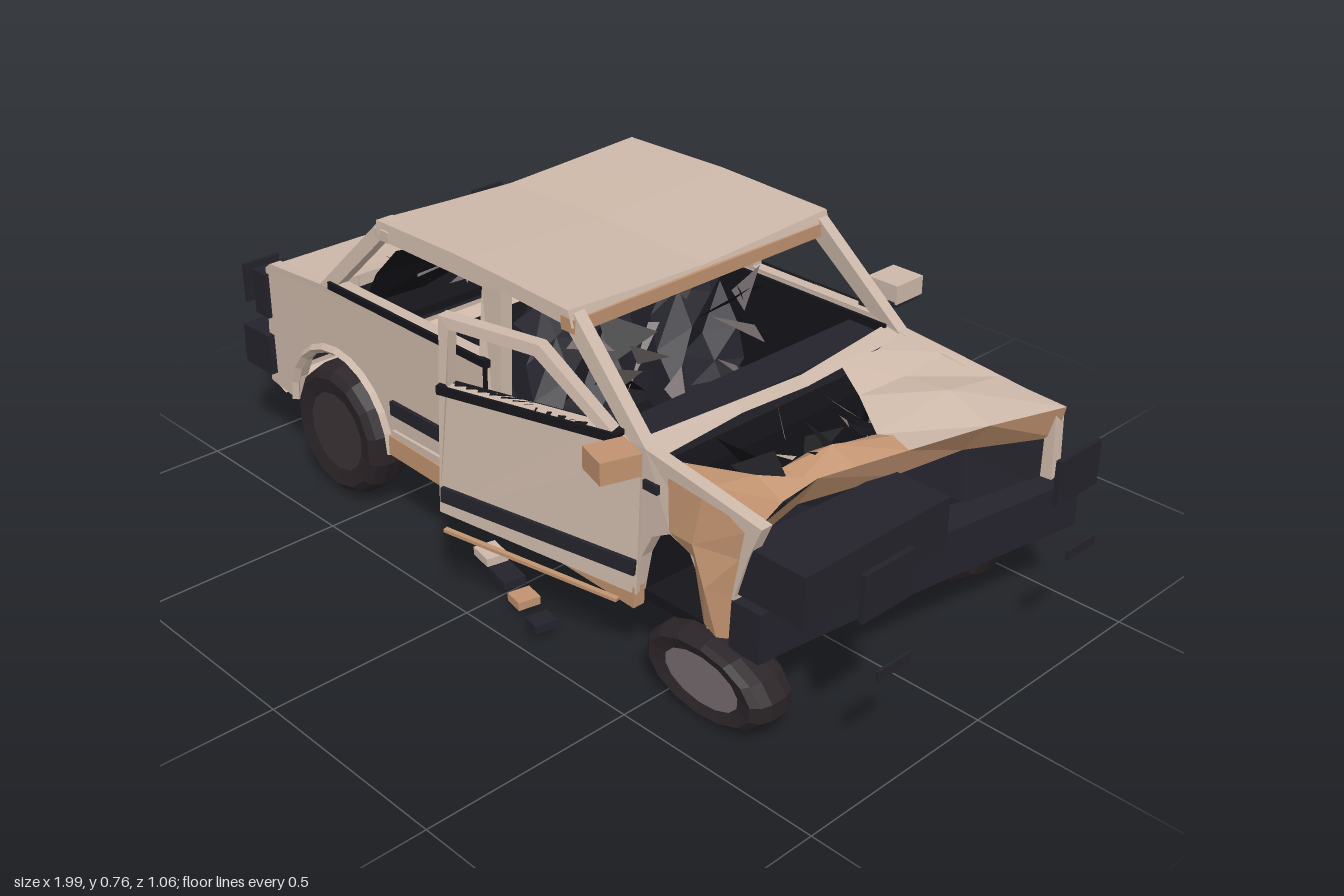
import * as THREE from 'three';

const mat = (color) => new THREE.MeshStandardMaterial({ color, flatShading: true, side: THREE.DoubleSide });
const paint = mat(0xcdb8a9), rust = mat(0xc0926f), dark = mat(0x24232c), black = mat(0x15151a);
const rubber = mat(0x2b2428), hubGrey = mat(0x3a3236), shardGrey = mat(0x746a6c);

let seed = 7;
const rnd = (a, b) => {
  seed = (seed * 16807) % 2147483647;
  return a + (b - a) * seed / 2147483647;
};

export function createModel() {
  const car = new THREE.Group();
  car.name = 'wreckedSaloon';

  const add = (name, geo, m, pos = [0, 0, 0], parent = car) => {
    const mesh = new THREE.Mesh(geo, m);
    mesh.name = name;
    mesh.position.set(...pos);
    parent.add(mesh);
    return mesh;
  };
  // box given by its limits on each axis
  const box = (name, m, x0, x1, y0, y1, z0, z1, parent = car) =>
    add(name, new THREE.BoxGeometry(x1 - x0, y1 - y0, z1 - z0), m, [(x0 + x1) / 2, (y0 + y1) / 2, (z0 + z1) / 2], parent);
  // bent sheet through rows of [x, y, z] points
  const sheet = (name, m, rows) => {
    const n = rows[0].length, idx = [];
    for (let r = 0; r < rows.length - 1; r++)
      for (let c = 0; c < n - 1; c++) {
        const a = r * n + c, b = a + n;
        idx.push(a, a + 1, b, a + 1, b + 1, b);
      }
    const g = new THREE.BufferGeometry();
    g.setAttribute('position', new THREE.Float32BufferAttribute(rows.flat(2), 3));
    g.setIndex(idx);
    g.computeVertexNormals();
    return add(name, g, m);
  };
  const path = (pts, Type = THREE.Shape) => new Type(pts.map(([x, y]) => new THREE.Vector2(x, y)));
  // move every vertex by a rule
  const warp = (geo, rule) => {
    const p = geo.attributes.position, v = new THREE.Vector3();
    for (let i = 0; i < p.count; i++) {
      rule(v.fromBufferAttribute(p, i));
      p.setXYZ(i, v.x, v.y, v.z);
    }
    geo.computeVertexNormals();
    return geo;
  };
  const extrude = (shape, depth) => new THREE.ExtrudeGeometry(shape, { depth, bevelEnabled: false });
  const arch = (cx, cy, r, a0, a1, n = 10) => Array.from({ length: n + 1 }, (_, i) => {
    const a = a0 + (a1 - a0) * i / n;
    return [cx + r * Math.cos(a), cy + r * Math.sin(a)];
  });

  // ---- body sides: quarters, roof rail and pillars, wheel arches cut out
  const rearArch = arch(-0.61, 0.19, 0.19, Math.PI, 0);
  const upper = [[0.43, 0.54], [0.2, 0.75], [-0.43, 0.765], [-0.66, 0.54], [-0.87, 0.525], [-0.89, 0.51]];
  const rearWindow = [[-0.59, 0.56], [-0.43, 0.715], [-0.08, 0.715], [-0.08, 0.56]];
  const frontWindow = [[-0.005, 0.56], [-0.005, 0.715], [0.18, 0.705], [0.35, 0.56]];
  const doorway = [[-0.02, 0.24], [-0.02, 0.725], [0.18, 0.715], [0.38, 0.54], [0.4, 0.24]];
  const sides = {
    left: {
      front: [[0.4, 0.19], [0.42, 0.29], [0.45, 0.35], [0.5, 0.378], [0.55, 0.355], [0.585, 0.28], [0.595, 0.2],
        [0.65, 0.2], [0.66, 0.3], [0.69, 0.4], [0.72, 0.475], [0.58, 0.51]], holes: [rearWindow, doorway], z: 0.345, s: 1 },
    right: {
      front: [[0.41, 0.19], ...arch(0.61, 0.19, 0.19, Math.PI, 0), [0.84, 0.22], [0.83, 0.48], [0.62, 0.515]],
      holes: [rearWindow, frontWindow], z: -0.425, s: -1 },
  };
  for (const [name, d] of Object.entries(sides)) {
    const shape = path([[-0.91, 0.2], [-0.8, 0.185], ...rearArch, ...d.front, ...upper]);
    shape.holes = d.holes.map((h) => path(h, THREE.Path));
    const geo = warp(extrude(shape, 0.03), (v) => {
      v.z += d.z - d.s * Math.max(0, v.y - 0.54) * 0.1;
      if (v.x > 0.5) v.z -= (v.x - 0.5) * 0.1;
    });
    add(name + 'BodySide', geo, paint);
    const zo = d.s > 0 ? 0.377 : -0.427, zi = zo - d.s * 0.04;
    // arch lips, rubbing strip, sill, door seams, window ledges and inner skin
    const lip = (cx) => add('archLip', new THREE.TorusGeometry(0.193, 0.012, 4, 12, Math.PI), paint, [cx, 0.19, zo]);
    lip(-0.61);
    if (d.s < 0) lip(0.61);
    box('rubbingStrip', dark, -0.4, d.s > 0 ? -0.06 : 0.4, 0.3, 0.335, zo - 0.008, zo + 0.008);
    add('sill', new THREE.BoxGeometry(0.82, 0.05, 0.03), rust, [0, 0.205, zo - d.s * 0.005]).rotation.z = -0.035;
    box('sillLedge', paint, -0.4, 0.36, 0.24, 0.258, zo - 0.006, zo + 0.006);
    box('doorSeam', black, -0.065, -0.055, 0.24, 0.55, zo - 0.005, zo);
    box('windowLedge', black, -0.62, -0.05, 0.542, 0.56, zo - 0.01, zo + 0.004);
    box('innerSkin', black, -0.4, d.s > 0 ? -0.03 : 0.4, 0.19, 0.55, zi - 0.004, zi + 0.004);
    if (d.s < 0) {
      box('windowLedge', black, -0.02, 0.38, 0.542, 0.56, zo - 0.006, zo + 0.006);
      box('doorSeam', black, 0.4, 0.41, 0.24, 0.53, zo - 0.004, zo);
    }
    box('sideLamp', dark, 0.43, 0.47, 0.455, 0.475, zo - 0.008, zo + 0.006);
  }
  // crumpled skin over the left front wing
  sheet('crushedWing', rust, [
    [[0.49, 0.5, 0.372], [0.58, 0.49, 0.37], [0.7, 0.465, 0.352]],
    [[0.5, 0.385, 0.378], [0.57, 0.39, 0.385], [0.67, 0.39, 0.358]],
    [[0.56, 0.35, 0.37], [0.61, 0.31, 0.392], [0.655, 0.3, 0.36]],
    [[0.59, 0.21, 0.368], [0.63, 0.2, 0.375], [0.65, 0.2, 0.36]]]);

  // ---- roof, dipped along the middle
  const roofY = [0.768, 0.758, 0.75, 0.756, 0.765];
  const zs = [-0.405, -0.2, -0.02, 0.17, 0.367];
  const roofRow = (x, dy) => zs.map((z, i) => [x, roofY[i] + dy, z]);
  sheet('roof', paint, [roofRow(-0.43, -0.035), roofRow(-0.43, 0), roofRow(-0.12, 0.004), roofRow(0.2, -0.008), roofRow(0.21, -0.045)]);
  box('rearHeader', paint, -0.45, -0.4, 0.715, 0.74, -0.4, 0.36);
  box('frontHeader', rust, 0.17, 0.21, 0.705, 0.735, -0.4, 0.36);

  // ---- tail: boot lid, rear panel, lamps and bumper
  const strip = (x, y, z0 = -0.42, z1 = 0.37) => [z0, -0.15, 0.1, z1].map((z) => [x, y, z]);
  sheet('bootLid', paint, [strip(-0.64, 0.54), strip(-0.68, 0.535), strip(-0.86, 0.525), strip(-0.89, 0.51)]);
  sheet('rearPanel', paint, [strip(-0.89, 0.51), strip(-0.905, 0.4), strip(-0.91, 0.2), strip(-0.86, 0.18)]);
  box('plateRecess', paint, -0.912, -0.9, 0.37, 0.47, -0.15, 0.1);
  box('rearBumper', dark, -0.99, -0.88, 0.23, 0.333, -0.44, 0.392);
  for (const z of [-0.385, 0.335]) {
    box('tailLamp', dark, -0.935, -0.88, 0.38, 0.495, z - 0.05, z + 0.05);
    box('tailLampLens', dark, -0.98, -0.97, 0.395, 0.495, z - 0.05, z + 0.05);
  }

  // ---- underside and inner walls
  box('floor', black, -0.86, 0.6, 0.165, 0.19, -0.4, 0.345);
  sheet('tailFloor', black, [strip(-0.86, 0.17, -0.4, 0.345), strip(-0.91, 0.2, -0.42, 0.37)]);
  sheet('firewall', black, [strip(0.4, 0.18, -0.4, 0.34), strip(0.41, 0.42, -0.4, 0.34), strip(0.39, 0.52, -0.4, 0.34)]);
  box('dashboard', dark, 0.3, 0.4, 0.42, 0.53, -0.39, 0.335);
  box('rearShelf', black, -0.66, -0.46, 0.48, 0.5, -0.39, 0.34);
  const jag = (x, y) => [-0.39, -0.25, -0.1, 0.03, 0.17, 0.34].map((z) => [x + rnd(-0.03, 0.03), y + rnd(-0.02, 0.02), z]);
  sheet('crumpledRearLining', black, [jag(-0.55, 0.51), jag(-0.46, 0.61), jag(-0.38, 0.7)]);

  // crumpled seats and torn scraps in the cabin
  for (const z of [-0.21, 0.16]) {
    box('seatCushion', dark, -0.02, 0.2, 0.19, 0.33, z - 0.12, z + 0.12);
    const back = warp(new THREE.BoxGeometry(0.07, 0.32, 0.24, 1, 4, 3), (v) => {
      v.x += 0.03 * Math.sin(v.y * 25 + v.z * 30);
      v.y += 0.03 * Math.sin(v.z * 27 + v.x * 20);
    });
    add('seatBack', back, dark, [-0.04, 0.45, z]).rotation.z = 0.2;
  }
  box('rearBench', dark, -0.42, -0.2, 0.19, 0.34, -0.38, 0.33);
  const scraps = (name, count, x0, x1, y0, y1, z0, z1, size, m) => {
    const p = [];
    for (let i = 0; i < count; i++) {
      const c = [rnd(x0, x1), rnd(y0, y1), rnd(z0, z1)];
      for (let k = 0; k < 3; k++) p.push(...c.map((v) => v + rnd(-size, size)));
    }
    const g = new THREE.BufferGeometry();
    g.setAttribute('position', new THREE.Float32BufferAttribute(p, 3));
    g.computeVertexNormals();
    add(name, g, m);
  };
  scraps('cabinScraps', 16, -0.35, 0.3, 0.49, 0.59, -0.31, 0.26, 0.07, shardGrey);
  scraps('rearWindowScraps', 12, -0.57, -0.49, 0.54, 0.59, -0.31, 0.26, 0.06, shardGrey);
  scraps('cabinLining', 10, -0.4, 0.2, 0.48, 0.6, -0.32, 0.26, 0.08, black);
  scraps('engineScraps', 14, 0.48, 0.62, 0.4, 0.47, -0.25, 0.25, 0.07, black);

  // ---- crushed nose: torn bonnet round an open engine bay
  box('engine', black, 0.48, 0.62, 0.19, 0.34, -0.28, 0.24);
  sheet('cowl', paint, [[[0.39, 0.545, -0.41], [0.41, 0.53, -0.1], [0.41, 0.54, 0.1], [0.39, 0.54, 0.36]],
    [[0.44, 0.535, -0.41], [0.43, 0.51, -0.1], [0.43, 0.52, 0.1], [0.45, 0.52, 0.36]]]);
  sheet('bonnetRight', paint, [
    [[0.43, 0.54, -0.42], [0.45, 0.535, -0.3], [0.43, 0.53, -0.2]],
    [[0.55, 0.525, -0.42], [0.54, 0.51, -0.28], [0.52, 0.5, -0.16]],
    [[0.68, 0.51, -0.43], [0.67, 0.53, -0.27], [0.62, 0.47, -0.1]],
    [[0.84, 0.49, -0.45], [0.79, 0.5, -0.25], [0.72, 0.48, -0.08]]]);
  sheet('bonnetFront', rust, [
    [[0.62, 0.47, -0.1], [0.55, 0.45, 0.03], [0.58, 0.47, 0.14], [0.53, 0.47, 0.25], [0.46, 0.52, 0.35]],
    [[0.67, 0.49, -0.09], [0.62, 0.5, 0.04], [0.63, 0.46, 0.15], [0.6, 0.5, 0.24], [0.58, 0.51, 0.35]],
    [[0.72, 0.48, -0.08], [0.69, 0.47, 0.04], [0.68, 0.49, 0.15], [0.67, 0.47, 0.24], [0.7, 0.47, 0.33]]]);
  scraps('tornBonnet', 4, 0.46, 0.56, 0.48, 0.51, -0.12, 0.2, 0.05, paint);
  const noseMid = [[0.82, 0.41, -0.45], [0.73, 0.42, -0.25], [0.69, 0.41, -0.08], [0.63, 0.41, 0.15], [0.66, 0.4, 0.33]];
  sheet('nosePanel', rust, [
    [[0.84, 0.49, -0.45], [0.79, 0.5, -0.25], [0.72, 0.48, -0.08], [0.68, 0.49, 0.15], [0.7, 0.47, 0.33]], noseMid]);
  sheet('lowerNosePanel', dark, [noseMid,
    [[0.82, 0.28, -0.45], [0.74, 0.3, -0.25], [0.66, 0.29, -0.08], [0.66, 0.28, 0.15], [0.63, 0.28, 0.33]]]);
  sheet('valance', rust, [
    [[0.8, 0.26, -0.44], [0.71, 0.23, -0.1], [0.67, 0.22, 0.1], [0.65, 0.22, 0.32]],
    [[0.74, 0.165, -0.44], [0.67, 0.14, -0.1], [0.63, 0.125, 0.1], [0.61, 0.105, 0.27]],
    [[0.6, 0.17, -0.4], [0.58, 0.16, -0.1], [0.57, 0.16, 0.1], [0.57, 0.16, 0.27]]]);
  const bumper = warp(new THREE.BoxGeometry(0.08, 0.115, 0.83, 1, 1, 8), (v) => {
    const t = (0.36 - (v.z - 0.055)) / 0.83;
    v.x += 0.69 + 0.15 * t * t;
    v.y += 0.235 + 0.035 * t * t - 0.02 * Math.sin(t * Math.PI);
    v.z -= 0.055;
  });
  add('frontBumper', bumper, dark);
  add('fallenGrille', warp(new THREE.BoxGeometry(0.15, 0.115, 0.43), (v) => {
    if (v.z > 0 && v.x < 0) v.x -= 0.02;
  }), dark, [0.755, 0.362, 0.135]);
  // loose lenses and indicators ahead of the nose
  for (const z of [-0.31, 0.285]) {
    box('headlampLens', dark, 0.96, 0.972, 0.39, 0.492, z - 0.07, z + 0.07);
    box('indicatorLens', dark, 0.993, 1, 0.268, 0.29, z - 0.045, z + 0.05);
  }

  // ---- wheels
  const tyre = [[0.1, -0.05], [0.14, -0.058], [0.157, -0.045], [0.165, -0.02], [0.165, 0.02], [0.157, 0.045], [0.14, 0.058], [0.1, 0.05]];
  const wheel = (name, x, y, z, hub = hubGrey) => {
    const g = new THREE.Group();
    g.name = name;
    g.position.set(x, y, z);
    add('tyre', new THREE.LatheGeometry(tyre.map(([r, h]) => new THREE.Vector2(r, h)), 14).rotateX(Math.PI / 2), rubber, [0, 0, 0], g);
    add('hub', new THREE.CylinderGeometry(0.115, 0.115, 0.096, 14).rotateX(Math.PI / 2), hub, [0, 0, 0], g);
    car.add(g);
    return g;
  };
  wheel('rearLeftWheel', -0.61, 0.178, 0.345);
  wheel('rearRightWheel', -0.61, 0.178, -0.372);
  wheel('frontRightWheel', 0.61, 0.178, -0.372);
  const flat = wheel('crushedFrontLeftWheel', 0.61, 0.098, 0.345, shardGrey);
  flat.scale.set(1.02, 0.55, 1);
  flat.rotation.z = -0.05;

  // ---- left front door, swung open on its front hinge
  const door = new THREE.Group();
  door.name = 'openDoor';
  door.position.set(0.41, 0, 0.37);
  door.rotation.y = 0.295;
  const panel = path([[-0.48, 0.255], [0, 0.2], [0.01, 0.52], [-0.05, 0.555], [-0.23, 0.7], [-0.47, 0.71]]);
  panel.holes = [path([[-0.445, 0.56], [-0.445, 0.685], [-0.24, 0.675], [-0.09, 0.56]], THREE.Path)];
  add('doorPanel', warp(extrude(panel, 0.03), (v) => {
    v.z -= 0.015 + Math.max(0, v.y - 0.54) * 0.1;
  }), paint, [0, 0, 0], door);
  add('doorStrip', new THREE.BoxGeometry(0.47, 0.035, 0.012), dark, [-0.235, 0.285, 0.018], door).rotation.z = -0.08;
  box('doorLedge', black, -0.47, -0.04, 0.54, 0.56, -0.02, 0.02, door);
  box('doorLining', black, -0.46, -0.02, 0.27, 0.53, -0.025, -0.012, door);
  box('doorMirror', rust, -0.06, 0.02, 0.51, 0.56, 0.03, 0.12, door).rotation.y = -0.6;
  add('hangingSillTrim', new THREE.BoxGeometry(0.43, 0.008, 0.012), rust, [0.17, 0.195, 0.46]).rotation.set(0, 0.28, -0.08);
  car.add(door);

  // ---- right mirror
  box('mirrorArm', dark, 0.31, 0.38, 0.565, 0.58, -0.53, -0.4);
  box('mirrorHousing', paint, 0.3, 0.385, 0.575, 0.62, -0.53, -0.44);

  // ---- loose pieces by the left side
  [[-0.115, 0.065, paint], [-0.02, 0.075, dark], [0.075, 0.05, rust], [0.17, 0.045, dark]].forEach(([x, w, m], i) => {
    const z = 0.335 + i * 0.032;
    box('debris', m, x - w / 2, x + w / 2, 0.025, 0.045, z - 0.027, z + 0.027).rotation.y = -0.2;
  });

  return car;
}
